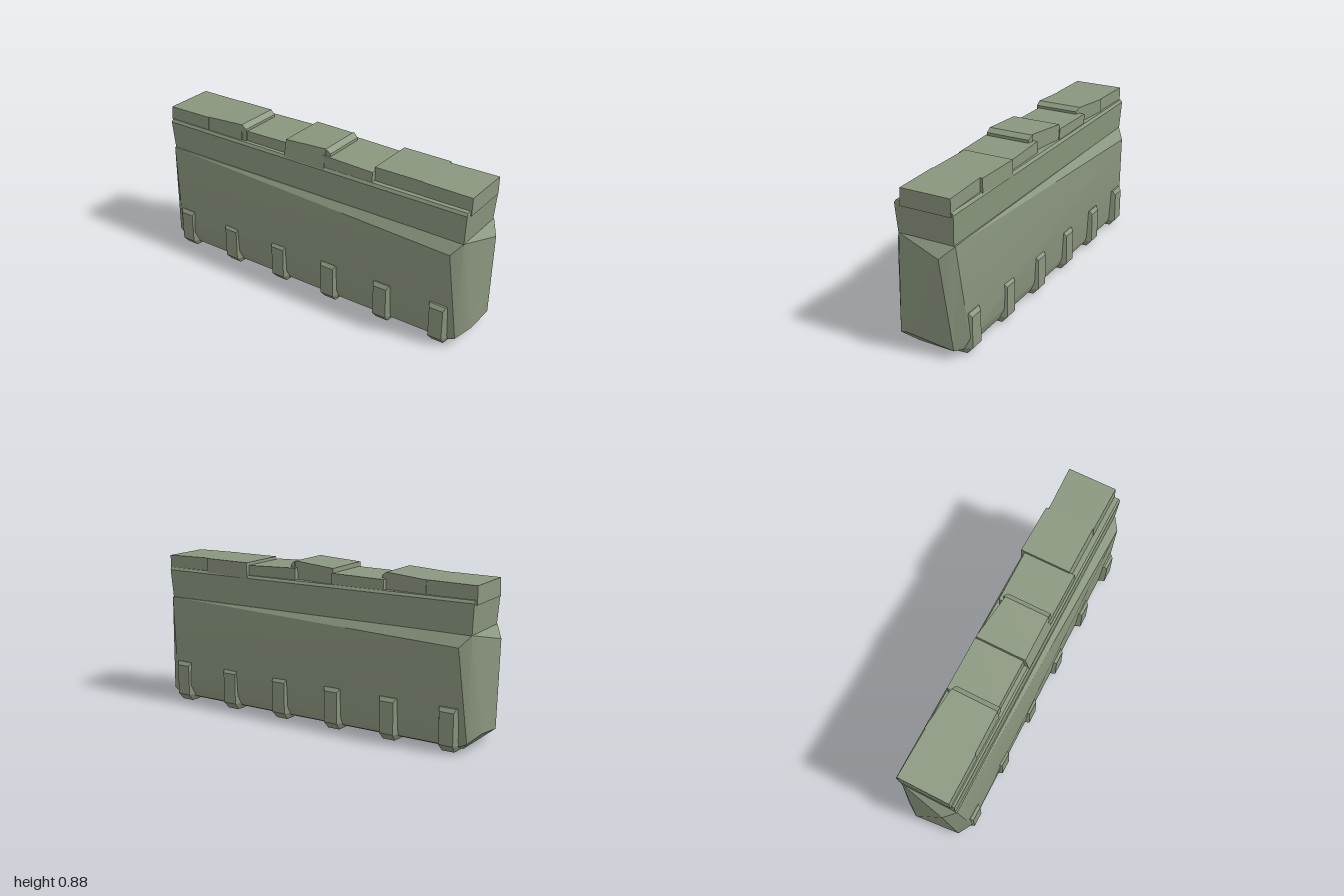
import * as THREE from 'three';
import { ConvexGeometry } from 'three/addons/geometries/ConvexGeometry.js';
import { toCreasedNormals } from 'three/addons/utils/BufferGeometryUtils.js';

const concrete = new THREE.MeshStandardMaterial({ color: 0x8a967e });
concrete.name = 'grey green concrete';

// Solid from corner points, with shallow bends smoothed up to the crease angle
function solid(name, points, crease = 0.1) {
  const geometry = new ConvexGeometry(points.map((p) => new THREE.Vector3(...p)));
  const mesh = new THREE.Mesh(toCreasedNormals(geometry, crease), concrete);
  mesh.name = name;
  return mesh;
}

// Adds the same points turned half way round the vertical axis
const turned = (points) => [...points, ...points.map(([x, y, z]) => [-x, y, -z])];

// Eight corners of a block; z and top height can differ at its two ends
function slab(name, x0, x1, y, top0, top1, back0, back1, front, frontBase = front) {
  return solid(name, [
    [x0, y, back0], [x1, y, back1], [x0, y, frontBase], [x1, y, frontBase],
    [x0, top0, back0], [x1, top1, back1], [x0, top0, front], [x1, top1, front],
  ]);
}

export function createModel() {
  const model = new THREE.Group();
  model.name = 'barrier';

  // Worn lower body: uneven chips at each end, rounded lower long edges
  model.add(solid('body', turned([
    [1, 0.1, 0.1], [1, 0.55, -0.1],
    [0.95, 0.61, 0.155], [0.95, 0.61, -0.165],
    [0.9, 0.55, 0.2], [0.9, 0.1, -0.2],
    [0.95, 0.055, 0.175], [0.97, 0.05, -0.15],
    [0.9, 0.03, 0.17], [0.9, 0.03, -0.17],
    [0.9, 0, 0.1], [0.9, 0, -0.1],
  ]), 0.45));

  // Upper wall, widening slightly towards the ledge
  model.add(solid('upperWall', turned([
    [0.948, 0.58, 0.155], [0.948, 0.58, -0.155],
    [0.96, 0.77, 0.165], [0.96, 0.77, -0.165],
    [0.958, 0.785, 0.155], [0.958, 0.785, -0.155],
  ])));

  // Uneven cap stones: x0, x1, top at each end, back at each end, front, front base
  const stones = [
    [-0.967, -0.69, 0.857, 0.86, -0.145, -0.14, 0.145, 0.15],
    [-0.69, -0.45, 0.86, 0.875, -0.145, -0.12, 0.14, 0.15],
    [-0.45, -0.14, 0.84, 0.845, -0.15, -0.15, 0.13, 0.135],
    [-0.145, 0.115, 0.87, 0.885, -0.145, -0.11, 0.14, 0.165],
    [0.1, 0.41, 0.85, 0.84, -0.14, -0.145, 0.15, 0.155],
    [0.405, 0.69, 0.857, 0.858, -0.165, -0.16, 0.12, 0.13],
    [0.69, 0.965, 0.858, 0.855, -0.145, -0.155, 0.125, 0.13],
  ];
  stones.forEach(([x0, x1, top0, top1, ...z], i) => {
    model.add(slab(`capStone${i + 1}`, x0, x1, 0.76, top0, top1, ...z));
  });

  // Sloping broken ends of the two raised stones
  for (const [x, high, low, front] of [[-0.45, 0.875, 0.855, 0.14], [0.115, 0.885, 0.865, 0.14]]) {
    model.add(slab('chippedEnd', x, x + 0.03, 0.76, high, low, -0.12, -0.11, front));
  }

  // Bevelled feet along both long sides
  for (const side of [1, -1]) {
    for (let i = 0; i < 6; i++) {
      const points = [];
      for (const s of [1, -1]) {
        points.push(
          [s * 0.04, 0.04, 0.21], [s * 0.04, 0.215, 0.21],
          [s * 0.048, 0.235, 0.195], [s * 0.065, 0.24, 0.15], [s * 0.065, 0.04, 0.15],
          [s * 0.035, 0, 0.175], [s * 0.04, 0, 0.11], [s * 0.065, 0.04, 0.11],
        );
      }
      const foot = solid('foot', points);
      foot.position.x = -0.85 + i * 0.34;
      if (side < 0) foot.rotation.y = Math.PI;
      model.add(foot);
    }
  }
  return model;
}
